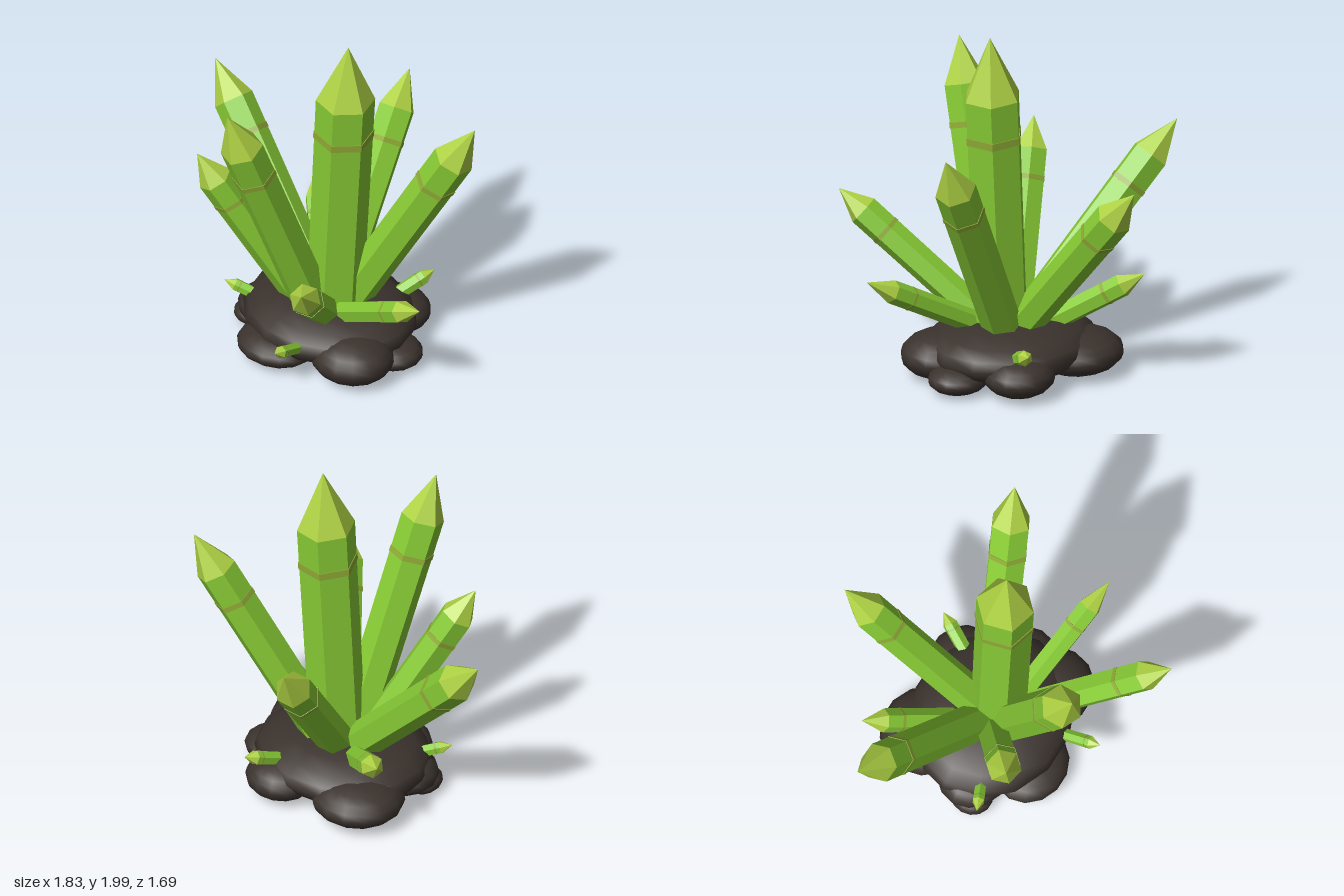
import * as THREE from 'three';

const crystalGreen = new THREE.MeshStandardMaterial({ color: 0x86c934, flatShading: true });
crystalGreen.name = 'crystal green';
const tipLime = new THREE.MeshStandardMaterial({ color: 0xaed143, flatShading: true });
tipLime.name = 'tip lime';
const bandOlive = new THREE.MeshStandardMaterial({ color: 0x8fa936, flatShading: true });
bandOlive.name = 'band olive';
const rockBrown = new THREE.MeshStandardMaterial({ color: 0x3a322d });
rockBrown.name = 'rock brown';

// Hexagonal shard from base to tip: prism, pointed cap and a thin ring
function crystal(name, base, tip, radius, shoulder, spin) {
  const start = new THREE.Vector3(...base);
  const dir = new THREE.Vector3(...tip).sub(start);
  const length = dir.length();
  const bodyLength = length * shoulder;
  const group = new THREE.Group();
  group.name = name;

  const add = (part, geometry, material, y) => {
    const mesh = new THREE.Mesh(geometry, material);
    mesh.name = part;
    mesh.position.y = y;
    group.add(mesh);
  };
  add('crystalBody', new THREE.CylinderGeometry(radius, radius * 0.95, bodyLength, 6, 1, true),
    crystalGreen, bodyLength / 2);
  add('crystalTip', new THREE.ConeGeometry(radius, length - bodyLength, 6, 1, true),
    tipLime, (length + bodyLength) / 2);
  add('crystalBand', new THREE.CylinderGeometry(radius * 1.025, radius * 1.025, radius * 0.26, 6),
    bandOlive, bodyLength * 0.84);

  // Spin about its own axis, then lean towards the tip
  group.quaternion.setFromUnitVectors(new THREE.Vector3(0, 1, 0), dir.normalize())
    .multiply(new THREE.Quaternion().setFromAxisAngle(new THREE.Vector3(0, 1, 0), spin));
  group.position.copy(start);
  return group;
}

export function createModel() {
  const model = new THREE.Group();
  model.name = 'crystalCluster';

  // Rocky base: flattened boulders [x, y, z, rx, ry, rz]
  const rocks = [
    [0.08, 0.18, 0.0, 0.5, 0.165, 0.44],
    [-0.17, 0.14, -0.26, 0.26, 0.12, 0.25],
    [0.29, 0.13, -0.3, 0.2, 0.11, 0.19],
    [0.49, 0.09, -0.03, 0.175, 0.08, 0.16],
    [0.4, 0.14, 0.2, 0.235, 0.13, 0.22],
    [-0.22, 0.13, 0.08, 0.23, 0.11, 0.2],
    [-0.03, 0.1, 0.32, 0.23, 0.09, 0.2],
    [-0.34, 0.075, 0.13, 0.11, 0.065, 0.12],
  ];
  const boulder = new THREE.SphereGeometry(1, 14, 10);
  rocks.forEach(([x, y, z, rx, ry, rz], i) => {
    const rock = new THREE.Mesh(boulder, rockBrown);
    rock.name = i ? 'sideRock' : 'mainRock';
    rock.position.set(x, y, z);
    rock.scale.set(rx, ry, rz);
    model.add(rock);
  });

  // Shards: name, base, tip, radius, shoulder fraction, twist off the lean direction
  const shards = [
    ['mainCrystal', [0.125, 0.2, 0.02], [0.22, 2.0, 0.015], 0.162, 0.805, null],
    ['frontTallCrystal', [0.08, 0.2, 0.09], [-0.12, 1.725, 0.635], 0.12, 0.84, 0.45],
    ['leftTallCrystal', [0.13, 0.2, -0.03], [0.84, 1.55, -0.31], 0.115, 0.84, 0.1],
    ['rightLongCrystal', [0.06, 0.2, 0.0], [-0.92, 1.28, -0.24], 0.11, 0.835, 0],
    ['backLongCrystal', [0.085, 0.2, 0.0], [-0.055, 1.27, -0.845], 0.105, 0.835, 0.3],
    ['frontRightCrystal', [0.0, 0.2, 0.06], [-0.49, 1.21, 0.44], 0.098, 0.84, 0.2],
    ['backRightCrystal', [0.03, 0.2, -0.02], [-0.44, 0.585, -0.505], 0.066, 0.82, 0],
    ['frontLowCrystal', [0.1, 0.2, 0.04], [0.57, 0.955, 0.845], 0.088, 0.85, 0.3],
    ['leftLowCrystal', [0.06, 0.2, 0.06], [0.91, 0.685, 0.248], 0.065, 0.82, 0.2],
    ['smallRightCrystal', [-0.26, 0.2, 0.15], [-0.465, 0.28, 0.24], 0.035, 0.72, 0],
    ['smallFrontCrystal', [0.18, 0.2, 0.4], [0.2, 0.29, 0.62], 0.036, 0.74, 0],
    ['smallBackCrystal', [0.29, 0.22, -0.27], [0.405, 0.33, -0.497], 0.042, 0.74, 0],
  ];
  for (const [name, base, tip, radius, shoulder, twist] of shards) {
    const lean = Math.atan2(tip[0] - base[0], tip[2] - base[2]);
    const spin = twist === null ? Math.PI / 12 : lean + twist;
    model.add(crystal(name, base, tip, radius, shoulder, spin));
  }
  return model;
}
